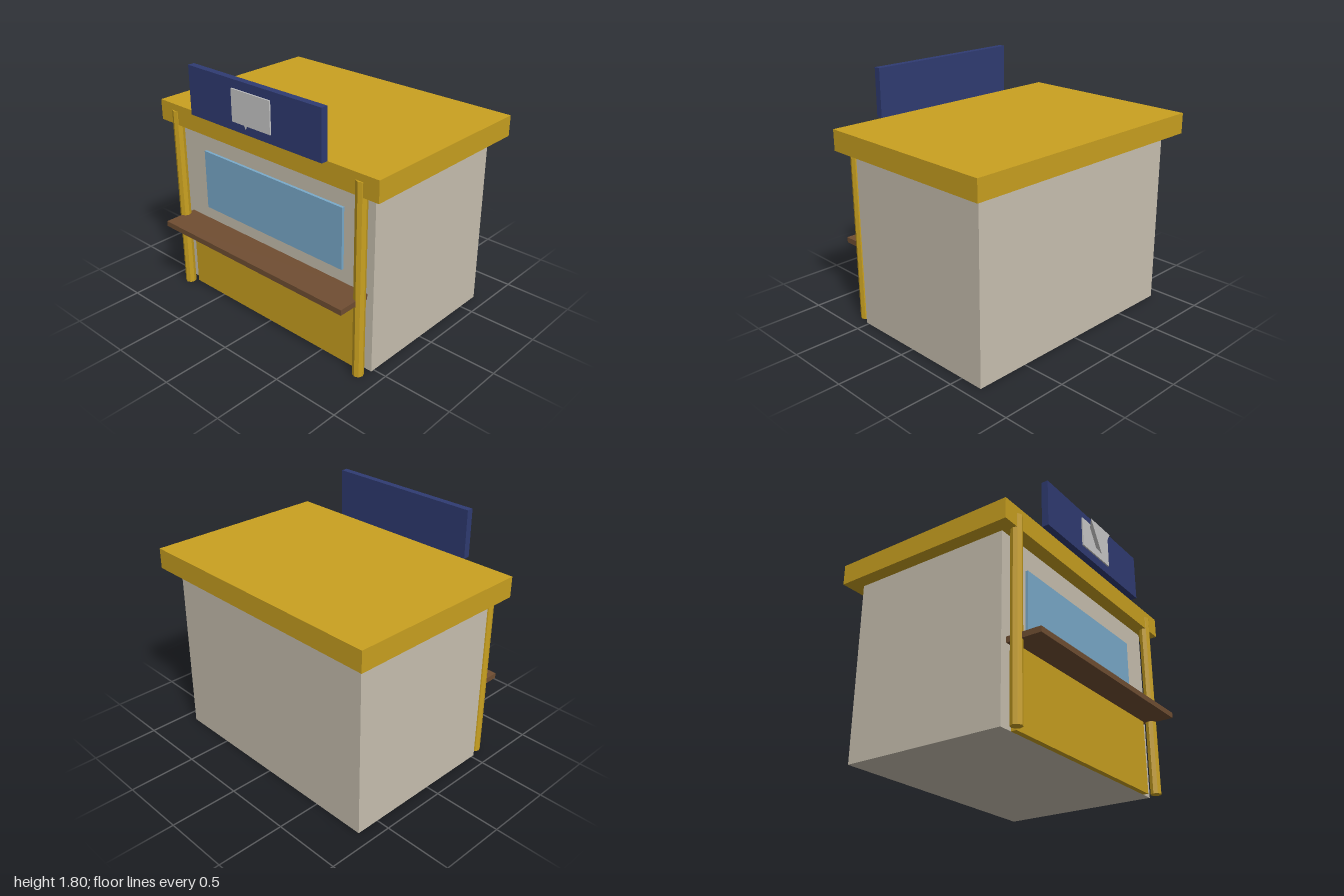
import * as THREE from 'three';

const mat = (name, color) => {
  const m = new THREE.MeshStandardMaterial({ color, flatShading: true });
  m.name = name;
  return m;
};

export function createModel() {
  const group = new THREE.Group();
  const yellow = mat('yellow', 0xc9a020);
  const beige = mat('beige', 0xc8c0b0);
  const blue = mat('window blue', 0x7aaaca);
  const brown = mat('wood brown', 0x704e32);
  const navy = mat('navy', 0x2f3b72);
  const silver = mat('silver', 0xc8c8c8);

  const add = (name, geometry, material, x, y, z) => {
    const mesh = new THREE.Mesh(geometry, material);
    mesh.name = name;
    mesh.position.set(x, y, z);
    group.add(mesh);
    return mesh;
  };
  // box centred on x, given its width and its y and z ranges
  const box = (name, material, w, y0, y1, z0, z1) =>
    add(name, new THREE.BoxGeometry(w, y1 - y0, z1 - z0), material, 0, (y0 + y1) / 2, (z0 + z1) / 2);

  // kiosk body and overhanging roof
  box('body', beige, 1.8, 0, 1.3, -0.675, 0.525);
  box('roof', yellow, 2, 1.3, 1.45, -0.775, 0.625);

  // serving front
  box('lowerPanel', yellow, 1.6, 0, 0.55, 0.525, 0.565);
  box('window', blue, 1.3, 0.68, 1.125, 0.525, 0.545);
  box('counter', brown, 1.7, 0.54, 0.58, 0.525, 0.775);

  // octagonal posts
  for (const side of [-1, 1]) {
    add(side > 0 ? 'leftPost' : 'rightPost',
      new THREE.CylinderGeometry(0.04, 0.04, 1.4, 8), yellow, side * 0.85, 0.7, 0.6);
  }

  // sign board with a plaque and a three-sided horn flaring forwards
  box('signBoard', navy, 1.2, 1.45, 1.8, 0.625, 0.675);
  box('signPlaque', silver, 0.35, 1.515, 1.74, 0.675, 0.685);
  const horn = new THREE.ConeGeometry(0.15, 0.1, 3, 1, false, Math.PI);
  horn.rotateX(-Math.PI / 2);
  add('signHorn', horn, silver, 0, 1.665, 0.677);

  return group;
}
